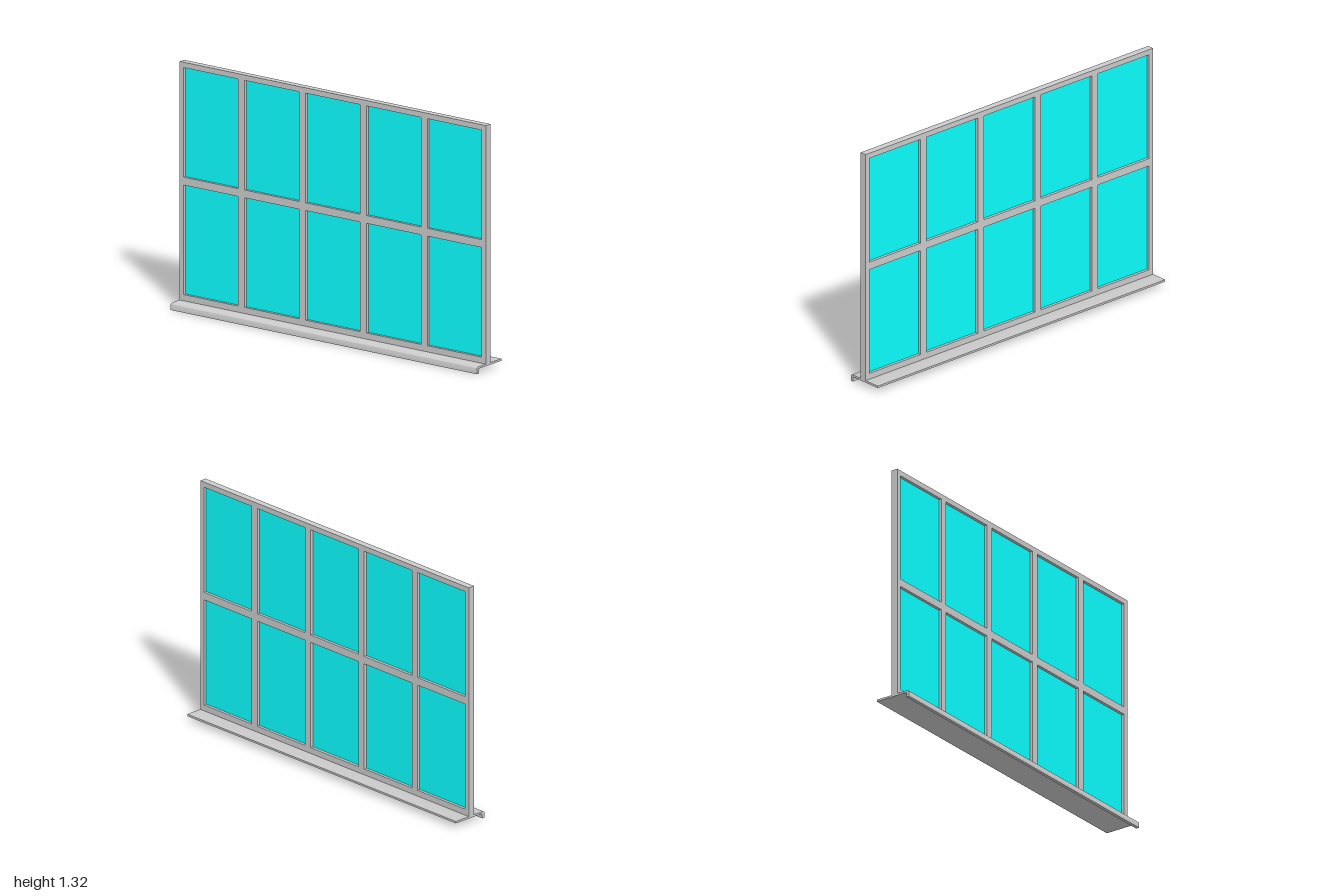
import * as THREE from 'three';
import { toCreasedNormals } from 'three/addons/utils/BufferGeometryUtils.js';

const frameMat = new THREE.MeshStandardMaterial({ color: 0xcccccc });
const glassMat = new THREE.MeshStandardMaterial({ color: 0x0cffff });

// Outer frame and pane grid
const BOTTOM = 0.037, TOP = 1.317, BACK = -0.01, FRONT = 0.028;
const COLS = 5, ROWS = 2, RIM = 0.027, BAR = 0.042;
const Y0 = 0.07, Y1 = 1.288;
const paneW = (2 - 2 * RIM - (COLS - 1) * BAR) / COLS;
const paneH = (Y1 - Y0 - (ROWS - 1) * BAR) / ROWS;

function rectangle(path, x, y, w, h) {
  path.moveTo(x, y);
  path.lineTo(x + w, y);
  path.lineTo(x + w, y + h);
  path.lineTo(x, y + h);
  path.closePath();
  return path;
}

export function createModel() {
  const model = new THREE.Group();
  model.name = 'window';

  const add = (name, geometry, material) => {
    const mesh = new THREE.Mesh(geometry, material);
    mesh.name = name;
    model.add(mesh);
    return mesh;
  };

  // Frame with one opening per pane, and a thin glass sheet in each opening
  const frame = rectangle(new THREE.Shape(), -1, BOTTOM, 2, TOP - BOTTOM);
  for (let r = 0; r < ROWS; r++) {
    for (let c = 0; c < COLS; c++) {
      const x = -1 + RIM + c * (paneW + BAR);
      const y = Y0 + r * (paneH + BAR);
      frame.holes.push(rectangle(new THREE.Path(), x, y, paneW, paneH));
      add('glassPane', new THREE.BoxGeometry(paneW, paneH, 0.006), glassMat)
        .position.set(x + paneW / 2, y + paneH / 2, (BACK + FRONT) / 2);
    }
  }
  const frameGeo = new THREE.ExtrudeGeometry(frame, { depth: FRONT - BACK, bevelEnabled: false });
  frameGeo.translate(0, 0, BACK);
  add('frame', frameGeo, frameMat);

  // Sill: flat board with a rounded nose turned down at the front (profile in z, y)
  const sill = new THREE.Shape();
  sill.moveTo(-0.103, 0.026);
  sill.lineTo(0.086, 0.026);
  sill.lineTo(0.086, 0);
  sill.lineTo(0.104, 0);
  sill.lineTo(0.104, 0.023);
  sill.absarc(0.09, 0.023, 0.014, 0, Math.PI / 2, false);
  sill.lineTo(-0.103, BOTTOM);
  sill.closePath();
  const sillGeo = new THREE.ExtrudeGeometry(sill, { depth: 2, bevelEnabled: false, curveSegments: 8 });
  sillGeo.rotateY(-Math.PI / 2).translate(1, 0, 0);
  add('sill', toCreasedNormals(sillGeo, 0.6), frameMat);

  return model;
}
